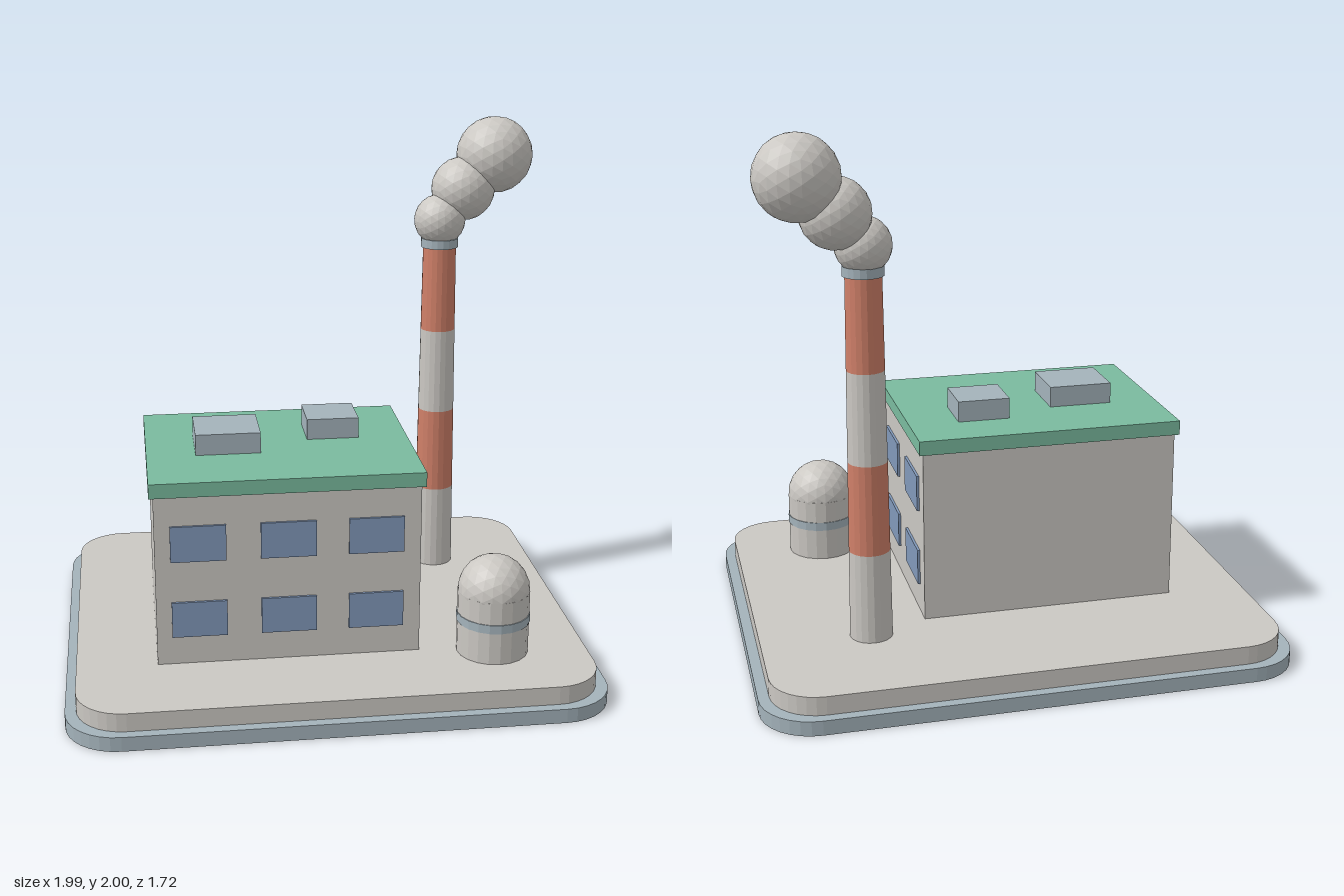
import * as THREE from 'three';

const mat = (name, color) => {
  const m = new THREE.MeshStandardMaterial({ color, flatShading: true });
  m.name = name;
  return m;
};

export function createModel() {
  const group = new THREE.Group();
  const concrete = mat('concrete', 0xcbc8c3);
  const metal = mat('blueGreyMetal', 0xa4b3bb);
  const green = mat('greenRoof', 0x7abb9f);
  const red = mat('chimneyRed', 0xd08069);
  const glass = mat('windowBlue', 0x8299ba);

  const add = (name, geometry, material, x, y, z) => {
    const mesh = new THREE.Mesh(geometry, material);
    mesh.name = name;
    mesh.position.set(x, y, z);
    group.add(mesh);
    return mesh;
  };

  // Box given by its extents on each axis
  const box = (name, material, x0, x1, y0, y1, z0, z1) =>
    add(name, new THREE.BoxGeometry(x1 - x0, y1 - y0, z1 - z0), material,
      (x0 + x1) / 2, (y0 + y1) / 2, (z0 + z1) / 2);

  // Upright cylinder between two heights
  const column = (name, material, rTop, rBottom, y0, y1, x, z, sides = 20) =>
    add(name, new THREE.CylinderGeometry(rTop, rBottom, y1 - y0, sides), material, x, (y0 + y1) / 2, z);

  const ball = (name, r, x, y, z) =>
    add(name, new THREE.IcosahedronGeometry(r, 3), concrete, x, y, z);

  // Flat slab with rounded corners
  const slab = (name, material, w, d, r, y0, y1) => {
    const s = new THREE.Shape();
    s.absarc(w - r, d - r, r, 0, Math.PI / 2);
    s.absarc(r - w, d - r, r, Math.PI / 2, Math.PI);
    s.absarc(r - w, r - d, r, Math.PI, Math.PI * 1.5);
    s.absarc(w - r, r - d, r, Math.PI * 1.5, Math.PI * 2);
    s.closePath();
    const g = new THREE.ExtrudeGeometry(s, { depth: y1 - y0, bevelEnabled: false, curveSegments: 4 });
    g.rotateX(-Math.PI / 2);
    add(name, g, material, 0, y0, 0);
  };

  // Two-step base
  slab('baseRim', metal, 0.995, 0.858, 0.2, 0, 0.055);
  slab('basePlate', concrete, 0.955, 0.82, 0.18, 0.055, 0.125);

  // Factory hall, roof and roof units
  box('hall', concrete, -0.655, 0.325, 0.125, 0.785, -0.305, 0.465);
  box('roof', green, -0.67, 0.34, 0.785, 0.84, -0.32, 0.478);
  box('roofUnitLarge', metal, -0.485, -0.24, 0.84, 0.92, -0.035, 0.19);
  box('roofUnitSmall', metal, -0.05, 0.15, 0.84, 0.92, -0.13, 0.06);

  // Windows on the front and on the +x wall
  for (const y of [0.235, 0.533]) {
    for (const x of [-0.598, -0.268, 0.057])
      box('frontWindow', glass, x, x + 0.204, y, y + 0.138, 0.465, 0.4745);
    for (const z of [-0.226, 0.158])
      box('sideWindow', glass, 0.325, 0.3345, y, y + 0.138, z, z + 0.237);
  }

  // Striped tapering chimney with a cap ring
  const cx = 0.543, cz = -0.38, y0 = 0.125, bands = 4, step = 0.341;
  const radius = (i) => 0.08 - 0.0135 * i / bands;
  for (let i = 0; i < bands; i++) {
    column('chimneyBand', i % 2 ? red : concrete, radius(i + 1), radius(i),
      y0 + i * step, y0 + (i + 1) * step, cx, cz);
  }
  column('chimneyCap', metal, 0.075, 0.075, 1.489, 1.525, cx, cz);

  // Smoke puffs drifting away
  ball('smokeSmall', 0.103, 0.542, 1.597, -0.383);
  ball('smokeMedium', 0.128, 0.64, 1.717, -0.41);
  ball('smokeLarge', 0.153, 0.77, 1.847, -0.433);

  // Domed storage tank with a band
  column('tankBody', concrete, 0.135, 0.135, 0.125, 0.37, 0.6, 0.49);
  ball('tankDome', 0.135, 0.6, 0.37, 0.49);
  column('tankBand', metal, 0.138, 0.138, 0.25, 0.284, 0.6, 0.49);

  return group;
}
